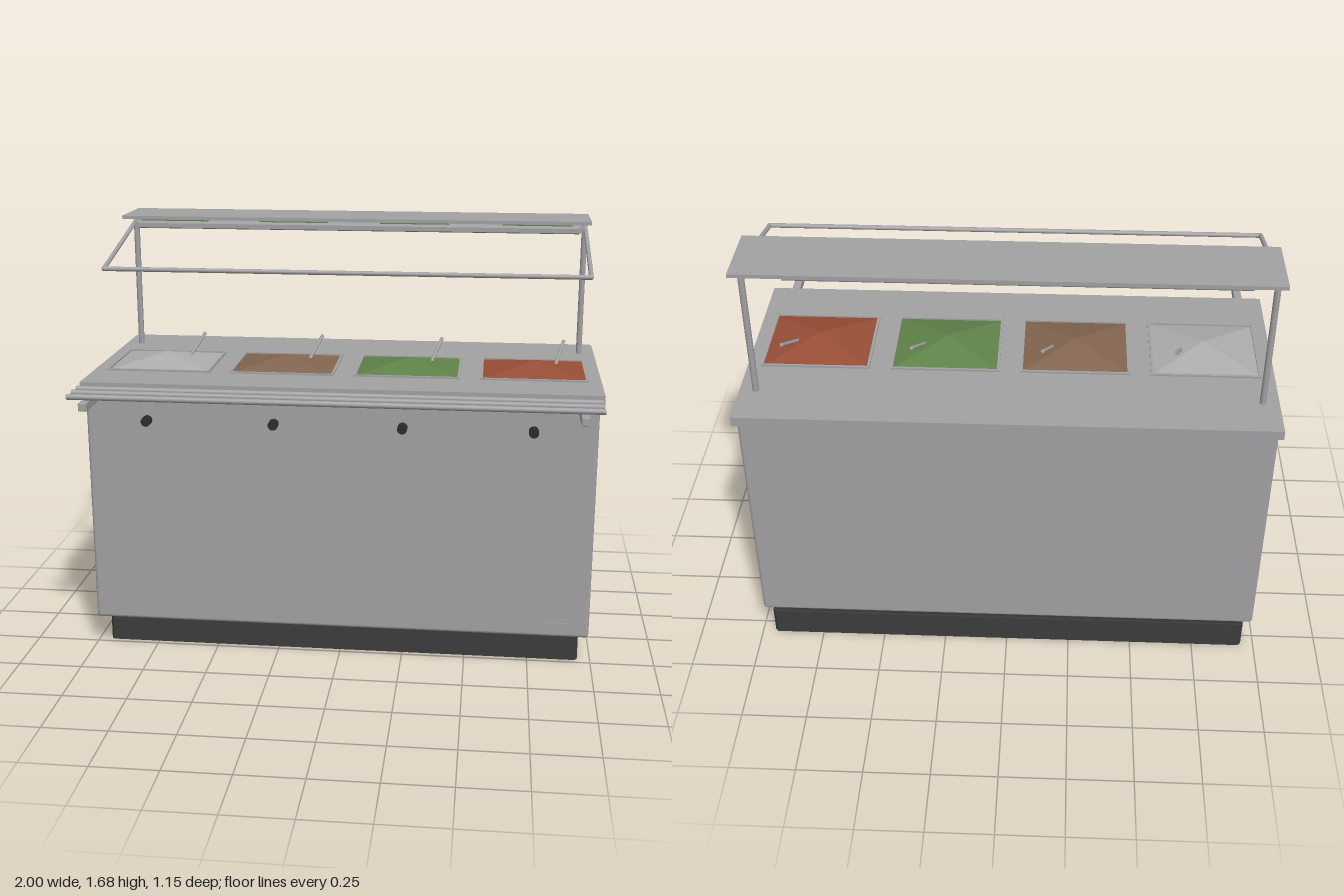
import * as THREE from 'three';
import { RoundedBoxGeometry } from 'three/addons/geometries/RoundedBoxGeometry.js';

const mat = (name, color) => {
  const m = new THREE.MeshStandardMaterial({ color });
  m.name = name;
  return m;
};

export function createModel() {
  const root = new THREE.Group();
  root.name = 'saladBar';

  const steel = mat('brushed steel', 0xa1a1a3);
  const plinthDark = mat('plinth charcoal', 0x3c3c3c);
  const knobBlack = mat('knob black', 0x2c2c2e);
  const foods = [
    mat('pale food', 0xacacaa),
    mat('brown food', 0x82654f),
    mat('green food', 0x5f8249),
    mat('red food', 0x984e36),
  ];

  const add = (name, geo, material, x = 0, y = 0, z = 0, parent = root) => {
    const m = new THREE.Mesh(geo, material);
    m.name = name;
    m.position.set(x, y, z);
    parent.add(m);
    return m;
  };
  // Box given by its min and max on each axis
  const box = (name, material, [x0, x1], [y0, y1], [z0, z1], parent = root) =>
    add(name, new THREE.BoxGeometry(x1 - x0, y1 - y0, z1 - z0), material,
      (x0 + x1) / 2, (y0 + y1) / 2, (z0 + z1) / 2, parent);
  // Round bar between two points
  const bar = (name, a, b, r, material = steel, parent = root) => {
    const p = new THREE.Vector3(...a), q = new THREE.Vector3(...b);
    const d = q.clone().sub(p);
    const m = add(name, new THREE.CylinderGeometry(r, r, d.length(), 10), material, 0, 0, 0, parent);
    m.position.copy(p).add(q).multiplyScalar(0.5);
    m.quaternion.setFromUnitVectors(new THREE.Vector3(0, 1, 0), d.normalize());
    return m;
  };

  // Hollow plinth: four walls with chamfered corners, closed on top
  const outline = (Path, w, d, c) => {
    const p = new Path();
    p.moveTo(-w + c, -d);
    p.lineTo(w - c, -d); p.lineTo(w, -d + c);
    p.lineTo(w, d - c); p.lineTo(w - c, d);
    p.lineTo(-w + c, d); p.lineTo(-w, d - c);
    p.lineTo(-w, -d + c); p.closePath();
    return p;
  };
  const wall = outline(THREE.Shape, 0.95, 0.392, 0.012);
  wall.holes.push(outline(THREE.Path, 0.935, 0.377, 0.008));
  const wallGeo = new THREE.ExtrudeGeometry(wall, { depth: 0.115, bevelEnabled: false });
  wallGeo.rotateX(-Math.PI / 2);
  add('plinthWalls', wallGeo, plinthDark, 0, 0, -0.163);
  box('plinthTop', plinthDark, [-0.942, 0.942], [0.113, 0.129], [-0.547, 0.221]);

  // Cabinet, small plate and counter slab
  add('cabinet', new RoundedBoxGeometry(1.97, 0.95, 0.857, 2, 0.014), steel, 0, 0.603, -0.127);
  box('ratingPlate', steel, [0.79, 0.91], [0.165, 0.19], [0.299, 0.306]);
  box('counter', steel, [-1, 1], [1.075, 1.112], [-0.572, 0.316]);

  // Four wells, each with rim, heap of food, serving spoon, knob and lamp panel
  const wellZ = -0.066, hw = 0.198, hd = 0.17;
  foods.forEach((food, i) => {
    const x = -0.742 + i * 0.4947;
    const well = new THREE.Group();
    well.name = 'well' + (i + 1);
    well.position.x = x;
    root.add(well);

    for (const s of [-1, 1]) {
      box('rimSide', steel, [s * hw + s * 0.005 - 0.005, s * hw + s * 0.005 + 0.005],
        [1.108, 1.119], [wellZ - hd - 0.01, wellZ + hd + 0.01], well);
      box('rimEnd', steel, [-hw, hw], [1.108, 1.119],
        [wellZ + s * (hd + 0.005) - 0.005, wellZ + s * (hd + 0.005) + 0.005], well);
    }

    const heap = new THREE.ConeGeometry(Math.SQRT2, 0.042, 4).toNonIndexed();
    heap.rotateY(Math.PI / 4);
    heap.scale(hw, 1, hd);
    heap.computeVertexNormals();
    add('foodHeap', heap, food, 0, 1.134, wellZ, well);

    bar('servingSpoon', [0.087, 1.13, -0.09], [0.123, 1.2, -0.227], 0.007, steel, well);

    const knob = new THREE.CylinderGeometry(0.019, 0.019, 0.038, 16);
    knob.rotateX(Math.PI / 2);
    add('knob', knob, knobBlack, 0, 0.965, 0.317, well);

    box('lampPanel', foods[2], [-0.14, 0.14], [1.66, 1.668], [-0.33, -0.265], well);
  });

  // Overhead shelf with lamp housing
  box('shelf', steel, [-0.957, 0.957], [1.667, 1.681], [-0.511, -0.244]);
  const lamp = new THREE.CylinderGeometry(1, 1, 1.83, 6).toNonIndexed();
  lamp.rotateZ(Math.PI / 2);
  lamp.rotateX(Math.PI / 2);
  lamp.scale(1, 0.018, 0.052);
  lamp.computeVertexNormals();
  add('lampHousing', lamp, steel, 0, 1.632, -0.377);

  // Posts and sloping guard frame
  for (const s of [-1, 1]) {
    bar('post', [s * 0.938, 1.11, -0.4], [s * 0.938, 1.67, -0.4], 0.012);
    bar('guardArm', [s * 0.94, 1.645, -0.41], [s * 0.94, 1.52, 0.118], 0.009);
    add('guardCorner', new THREE.SphereGeometry(0.009, 10, 8), steel, s * 0.94, 1.52, 0.118);
    box('lampClamp', steel, [s * 0.925 - 0.012, s * 0.925 + 0.012], [1.622, 1.645], [-0.425, -0.35]);
  }
  bar('guardBar', [-0.94, 1.52, 0.118], [0.94, 1.52, 0.118], 0.009);

  // Tray slide: brackets and three rails
  for (const s of [-1, 1]) {
    add('trayBracket', new RoundedBoxGeometry(0.032, 0.032, 0.245, 1, 0.004), steel, s * 0.915, 1.081, 0.4525);
  }
  for (const z of [0.402, 0.463, 0.526]) {
    bar('trayRail', [-0.987, 1.108, z], [0.987, 1.108, z], 0.011);
  }

  return root;
}
